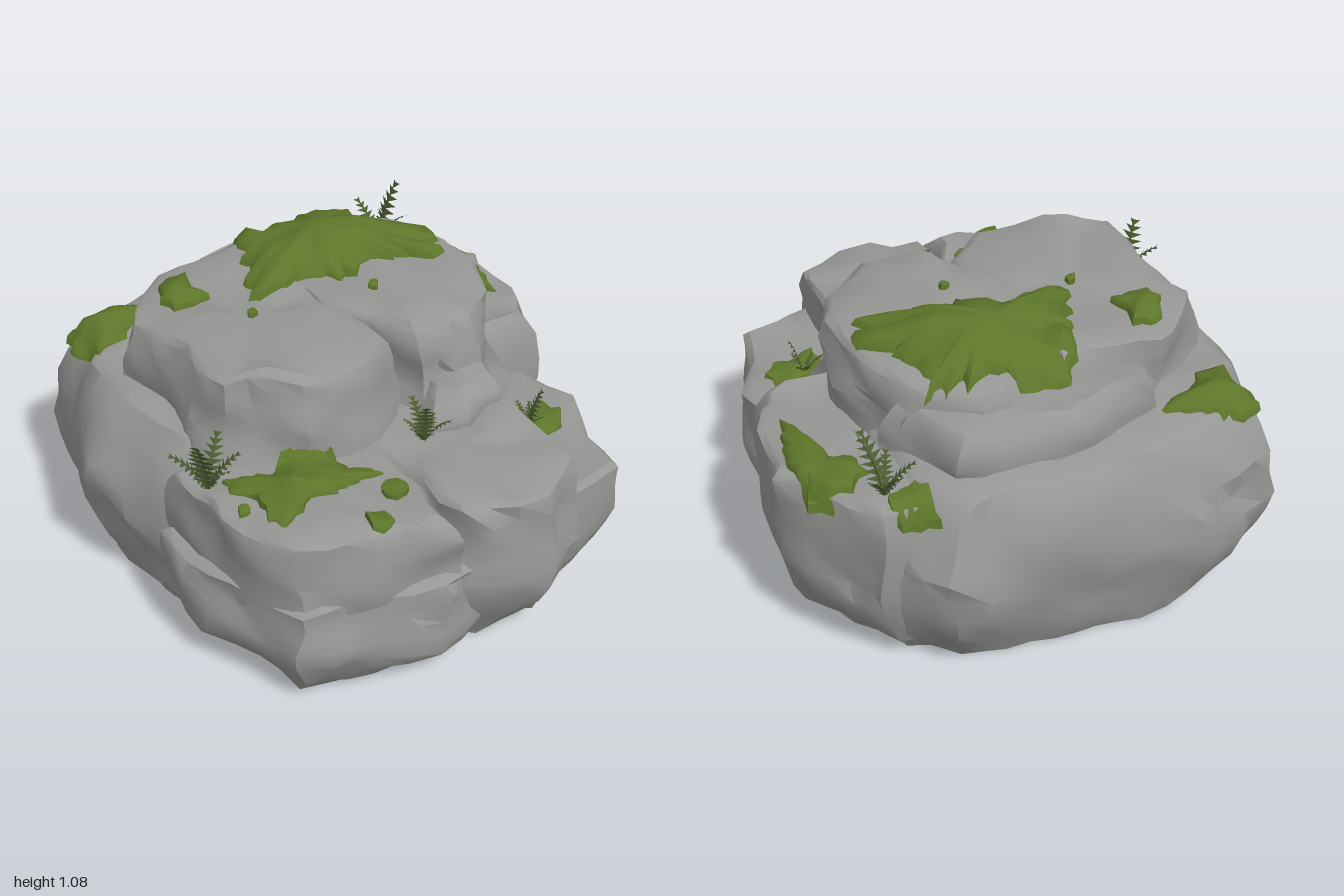
import * as THREE from 'three';
import { toCreasedNormals } from 'three/addons/utils/BufferGeometryUtils.js';

const rockGrey = new THREE.MeshStandardMaterial({ color: 0x969694 });
const mossGreen = new THREE.MeshStandardMaterial({ color: 0x5d762a, side: THREE.DoubleSide });
const fernGreen = new THREE.MeshStandardMaterial({ color: 0x4a5a30, side: THREE.DoubleSide });
rockGrey.name = 'rock grey';
mossGreen.name = 'moss green';
fernGreen.name = 'fern green';

// Smooth value noise in -1..1
function hash(x, y, z) {
  const s = Math.sin(x * 127.1 + y * 311.7 + z * 74.7) * 43758.5453;
  return (s - Math.floor(s)) * 2 - 1;
}
function noise(x, y, z) {
  const i = [x, y, z].map(Math.floor);
  const [u, v, w] = [x - i[0], y - i[1], z - i[2]].map((t) => t * t * (3 - 2 * t));
  let sum = 0;
  for (let k = 0; k < 8; k++) {
    const a = k & 1, b = (k >> 1) & 1, c = k >> 2;
    sum += hash(i[0] + a, i[1] + b, i[2] + c) * (a ? u : 1 - u) * (b ? v : 1 - v) * (c ? w : 1 - w);
  }
  return sum;
}
const rough = (x, y, z, o) =>
  0.036 * noise(x * 4 + o, y * 4, z * 4) + 0.032 * noise(x * 9, y * 9 + o, z * 9);

// Even spacing along a closed plan outline, counter-clockwise from above
function resample(plan, step) {
  const pts = plan.map(([x, z]) => new THREE.Vector2(x, z));
  if (THREE.ShapeUtils.area(pts) > 0) pts.reverse();
  return pts.flatMap((p, i) => {
    const q = pts[(i + 1) % pts.length];
    const n = Math.max(1, Math.round(p.distanceTo(q) / step));
    return Array.from({ length: n }, (_, k) => p.clone().lerp(q, k / n));
  });
}

// Skin a stack of closed rings of equal length
function loft(rings, crease) {
  const n = rings[0].length, index = [];
  for (let i = 0; i < rings.length - 1; i++)
    for (let j = 0; j < n; j++) {
      const a = i * n + j, b = i * n + ((j + 1) % n);
      index.push(a, b, a + n, b, b + n, a + n);
    }
  const g = new THREE.BufferGeometry();
  g.setAttribute('position', new THREE.Float32BufferAttribute(rings.flat(2), 3));
  g.setIndex(index);
  return toCreasedNormals(g, crease);
}

// Boulder: below mid height the outline scales about the model's axis by foot,
// above it closes in about its own centre to the brow
function boulder(name, seed, y0, y1, foot, brow, plan) {
  const pts = resample(plan, 0.1);
  const centre = pts.reduce((s, p) => s.add(p), new THREE.Vector2()).divideScalar(pts.length);
  const ring = (y, low, high) => pts.map((p) => {
    const q = p.clone().sub(centre).multiplyScalar(high).add(centre).multiplyScalar(low);
    const dy = y === y0 ? 0 : 0.6 * rough(q.x, y, q.y, seed + 31);
    return [q.x + rough(q.x, y, q.y, seed), y + dy, q.y + rough(q.x, y, q.y, seed + 67)];
  });
  const rings = [ring(y0, foot, 0)];
  for (let i = 0; i <= 8; i++) {
    const t = i / 8;
    rings.push(ring(y0 + (y1 - y0) * t, foot + (1 - foot) * Math.sin(Math.min(t, 0.5) * Math.PI),
      1 + (brow - 1) * Math.max(0, 2 * t - 1) ** 2));
  }
  for (const k of [0.93, 0.65, 0.35, 0]) rings.push(ring(y1 + 0.018, 1, brow * k));
  const mesh = new THREE.Mesh(loft(rings, 0.7), rockGrey);
  mesh.name = name;
  return mesh;
}

// Height of the rocks under a point
const ray = new THREE.Raycaster();
const down = new THREE.Vector3(0, -1, 0);
function ground(rocks, x, z) {
  ray.set(new THREE.Vector3(x, 3, z), down);
  const hit = ray.intersectObjects(rocks, false)[0];
  return hit ? hit.point.y : 0;
}

// Moss cushion draped over the rocks, its outline given by radii at equal angles
function moss(name, rocks, cx, cz, height, radii) {
  const outline = radii.map((r, i) => {
    const a = (i / radii.length) * Math.PI * 2;
    return [cx + r * Math.cos(a), cz + r * Math.sin(a)];
  });
  const pts = resample(outline, 0.035);
  const base = ground(rocks, cx, cz);
  const rings = [1, 0.95, 0.8, 0.6, 0.4, 0.2, 0].map((t) => pts.map((p, j) => {
    const k = t * (1 + (t > 0.7 ? 0.13 * hash(j, 3, 7) : 0));
    const x = cx + (p.x - cx) * k, z = cz + (p.y - cz) * k;
    const lift = t === 1 ? -0.012 : 0.014 + height * (1 - t * t) + 0.014 * noise(x * 14, 2, z * 14);
    return [x, THREE.MathUtils.clamp(ground(rocks, x, z), base - 0.06, base + 0.04) + lift, z];
  }));
  const mesh = new THREE.Mesh(loft(rings, 1), mossGreen);
  mesh.name = name;
  return mesh;
}

// Fern: arching fronds with paired leaflets, the first frond upright
function fern(x, y, z, size, turn) {
  const v = [];
  const tri = (...ps) => ps.forEach((p) => v.push(p.x, p.y, p.z));
  for (let f = 0; f < 6; f++) {
    const a = turn + (f / 6) * Math.PI * 2 + 0.3 * hash(f, turn, 1);
    const len = size * (f === 0 ? 1.15 : 0.75 + 0.2 * hash(f, turn, 5));
    const lean = f === 0 ? 0.25 : 0.6;
    const out = new THREE.Vector3(Math.cos(a), 0, Math.sin(a));
    const side = new THREE.Vector3(-out.z, 0, out.x);
    const at = (t) => out.clone().multiplyScalar(len * lean * t * (0.5 + 0.6 * t))
      .setY(len * (t - 0.3 * lean * t * t));
    for (let i = 0; i < 9; i++) {
      const t = i / 9, p = at(t), q = at(t + 1 / 9);
      tri(p.clone().addScaledVector(side, 0.005), p.clone().addScaledVector(side, -0.005), q);
      const w = i ? 0.22 * len * Math.sin(Math.PI * (0.25 + 0.7 * t)) : 0.01;
      for (const s of [-1, 1])
        tri(p, q, q.clone().addScaledVector(side, s * w).addScaledVector(out, 0.03 * len));
    }
  }
  const g = new THREE.BufferGeometry();
  g.setAttribute('position', new THREE.Float32BufferAttribute(v, 3));
  g.computeVertexNormals();
  const mesh = new THREE.Mesh(g, fernGreen);
  mesh.name = 'fern';
  mesh.position.set(x, y, z);
  return mesh;
}

export function createModel() {
  const group = new THREE.Group();
  group.name = 'mossyRocks';
  const rocks = [];
  const addRock = (name, ...spec) => rocks.push(boulder(name, rocks.length * 6 + 1, ...spec));

  // Back base, its sloping back and the two upper blocks with a gully between them
  addRock('backBase', 0, 0.7, 0.87, 0.84, [[-0.36, -0.98], [0.06, -0.96], [0.56, -0.87], [0.7, -0.7],
    [0.6, 0.2], [-0.5, 0.3], [-0.85, 0.05], [-0.92, -0.32], [-0.74, -0.86]]);
  addRock('upperLeft', 0.52, 0.95, 1.14, 0.93, [[-0.69, -0.4], [-0.4, -0.6], [0, -0.62], [0, 0.24],
    [-0.18, 0.38], [-0.44, 0.34], [-0.66, 0.18]]);
  addRock('upperRight', 0.52, 0.94, 1.14, 0.92, [[-0.08, -0.6], [0.3, -0.62], [0.5, -0.5], [0.59, -0.1],
    [0.52, 0.24], [0.3, 0.36], [0.05, 0.35], [-0.1, 0]]);
  addRock('backSlope', 0.5, 0.85, 1.2, 0.88, [[-0.36, -0.7], [0, -0.74], [0.45, -0.7], [0.58, -0.4],
    [-0.4, -0.4]]);
  // Lower ledges around them
  addRock('rightBlock', 0, 0.66, 0.84, 0.92, [[0.42, -0.73], [0.7, -0.74], [0.93, -0.35], [0.9, -0.05],
    [0.8, 0.18], [0.4, 0.22]]);
  addRock('frontLeftLower', 0, 0.39, 0.88, 0.96, [[-0.87, 0.05], [-0.9, 0.35], [-0.82, 0.74],
    [-0.32, 0.93], [-0.1, 0.88], [-0.05, 0.05]]);
  addRock('frontLeftUpper', 0.28, 0.635, 0.98, 0.93, [[-0.84, 0.05], [-0.86, 0.4], [-0.79, 0.72],
    [-0.5, 0.84], [-0.22, 0.9], [-0.08, 0.05]]);
  addRock('frontMiddle', 0, 0.63, 0.82, 0.94, [[-0.23, 0.2], [-0.22, 0.88], [0.08, 1], [0.3, 0.92],
    [0.37, 0.2]]);
  addRock('frontRight', 0, 0.445, 0.82, 0.96, [[-0.05, 0.1], [0.72, 0.14], [0.73, 0.42], [0.58, 0.84],
    [0.1, 0.96]]);
  addRock('shoulderRock', 0.5, 0.74, 1.1, 0.65, [[0, 0.2], [0.03, 0.44], [0.14, 0.52], [0.34, 0.46],
    [0.4, 0.2]]);
  group.add(...rocks);

  // Moss cushions and small spots
  const addMoss = (name, ...spec) => group.add(moss(name, rocks, ...spec));
  addMoss('topMoss', 0.13, -0.36, 0.09, [0.28, 0.43, 0.48, 0.24, 0.28, 0.24, 0.23, 0.4, 0.3, 0.26, 0.31, 0.28,
    0.25, 0.2, 0.26, 0.34]);
  addMoss('topLeftMoss', -0.44, -0.4, 0.03, [0.06, 0.11, 0.09, 0.1, 0.08, 0.07, 0.12, 0.13]);
  addMoss('backLedgeMoss', -0.56, -0.7, 0.03, [0.22, 0.08, 0.12, 0.18, 0.18, 0.16, 0.11, 0.12]);
  addMoss('rightMoss', 0.78, -0.38, 0.03, [0.1, 0.13, 0.34, 0.06, 0.12, 0.16, 0.17, 0.14]);
  addMoss('frontLeftMoss', -0.57, 0.41, 0.025, [0.2, 0.34, 0.2, 0.14, 0.1, 0.15, 0.25, 0.18, 0.14, 0.2, 0.25,
    0.13, 0.1, 0.12, 0.17, 0.2]);
  addMoss('frontRightMoss', 0.5, 0.49, 0.02, [0.13, 0.1, 0.07, 0.17, 0.11, 0.07, 0.06, 0.15]);
  for (const [x, z, r] of [[-0.31, 0.64, 0.05], [-0.46, 0.75, 0.05], [0.6, -0.69, 0.08], [-0.31, -0.14, 0.02],
    [0.12, 0.01, 0.02], [-0.78, 0.43, 0.02]])
    addMoss('mossSpot', x, z, 0.004, Array.from({ length: 9 }, (_, i) => r * (1 + 0.25 * hash(i, x, z))));

  // Ferns rooted on the ledges
  for (const [x, z, size, turn] of [[-0.79, 0.24, 0.21, 2.6], [-0.04, 0.48, 0.17, 2], [0.48, 0.47, 0.15, 0.4],
    [0.67, -0.62, 0.24, 0.3]])
    group.add(fern(x, ground(rocks, x, z) - 0.01, z, size, turn));

  return group;
}
